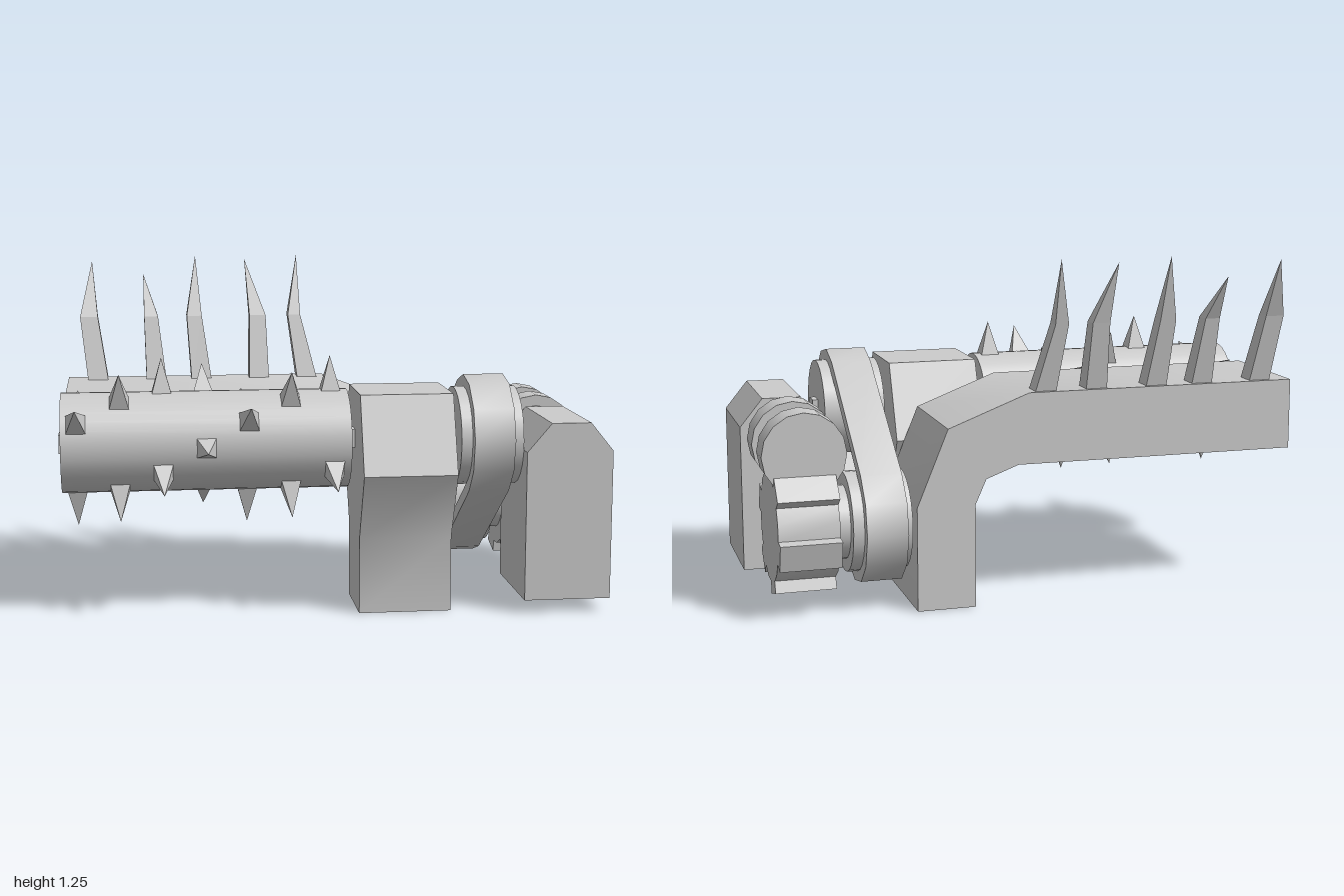
import * as THREE from 'three';
import { toCreasedNormals } from 'three/addons/utils/BufferGeometryUtils.js';

const material = new THREE.MeshStandardMaterial({ color: 0xcccccc });

export function createModel() {
  const model = new THREE.Group();

  const add = (name, geometry, parent = model) => {
    const mesh = new THREE.Mesh(geometry, material);
    mesh.name = name;
    parent.add(mesh);
    return mesh;
  };
  const group = (name) => {
    const g = new THREE.Group();
    g.name = name;
    model.add(g);
    return g;
  };
  const toShape = (points) => new THREE.Shape(points.map(([a, b]) => new THREE.Vector2(a, b)));
  const extrude = (shape, depth) =>
    toCreasedNormals(new THREE.ExtrudeGeometry(shape, { depth, bevelEnabled: false }), 0.65);
  // Extrudes a (-z, y) outline along x
  const extrudeX = (shape, x0, x1) => extrude(shape, x1 - x0).rotateY(Math.PI / 2).translate(x0, 0, 0);
  const cylinderX = (r, x0, x1, y, z, sides = 24) =>
    new THREE.CylinderGeometry(r, r, x1 - x0, sides).rotateZ(Math.PI / 2).translate((x0 + x1) / 2, y, z);
  const cylinderZ = (r, z0, z1, x, y, sides = 16) =>
    new THREE.CylinderGeometry(r, r, z1 - z0, sides).rotateX(Math.PI / 2).translate(x, y, (z0 + z1) / 2);

  const upper = { y: 0.63, z: 0.255 };
  const lower = { y: 0.3, z: -0.255 };

  // Roller on its square shaft
  add('roller', cylinderX(0.182, -0.99, 0.05, upper.y, upper.z, 32));
  add('shaft', new THREE.BoxGeometry(1.7, 0.068, 0.068).translate(-0.15, upper.y, upper.z));

  // Seven rings of three spikes, each ring turned 30 degrees further
  const rollerSpikes = group('rollerSpikes');
  for (let ring = 0; ring < 7; ring++) {
    for (let k = 0; k < 3; k++) {
      const geometry = new THREE.ConeGeometry(0.054, 0.14, 4, 1).toNonIndexed();
      geometry.computeVertexNormals();
      geometry.rotateY(Math.PI / 4).translate(0, 0.236, 0);
      const angle = THREE.MathUtils.degToRad(30 + 30 * ring + 120 * k);
      geometry.rotateX(Math.PI / 2 - angle);
      geometry.translate(-0.935 + ring * 0.154, upper.y, upper.z);
      add('rollerSpike', geometry, rollerSpikes);
    }
  }

  // Bearing stand around the shaft
  add('bearingStand', extrudeX(toShape([
    [-0.41, 0], [-0.13, 0], [-0.13, 0.28], [0, 0.53],
    [-0.12, 0.81], [-0.42, 0.81], [-0.53, 0.53], [-0.41, 0.28],
  ]), 0.08, 0.42));

  // Rear arm: a leg that bends over into a long beam
  add('rearArm', extrude(toShape([
    [0.24, 0], [0.455, 0], [0.455, 0.38], [0.34, 0.66], [0.04, 0.775],
    [-0.98, 0.775], [-0.98, 0.515], [0.08, 0.515], [0.2, 0.47], [0.24, 0.38],
  ]), 0.46).translate(0, 0, -0.46));

  // Bent, tapering tall spikes: base x, middle x, middle width, tip
  const spikeData = [
    [-0.86, -0.895, 0.07, -0.88, 1.235, -0.56],
    [-0.63, -0.648, 0.055, -0.675, 1.18, -0.56],
    [-0.45, -0.475, 0.06, -0.465, 1.255, -0.535],
    [-0.22, -0.22, 0.065, -0.265, 1.24, -0.54],
    [-0.025, -0.072, 0.05, -0.053, 1.255, -0.535],
  ];
  const tallSpikes = group('tallSpikes');
  for (const [bx, mx, mw, tx, ty, tz] of spikeData) {
    const square = (x, w, y, z0, z1) => [
      [x - w / 2, y, z0], [x + w / 2, y, z0], [x + w / 2, y, z1], [x - w / 2, y, z1],
    ];
    const sections = [
      square(bx, 0.08, 0.76, -0.36, -0.44),
      square(mx, mw, 1.02, -0.43, -0.49),
      [0, 1, 2, 3].map(() => [tx, ty, tz]),
    ];
    const positions = [];
    for (let s = 0; s < 2; s++) {
      for (let i = 0; i < 4; i++) {
        const j = (i + 1) % 4;
        const [a, b, c, d] = [sections[s][i], sections[s][j], sections[s + 1][j], sections[s + 1][i]];
        positions.push(...a, ...b, ...c);
        if (s === 0) positions.push(...a, ...c, ...d);
      }
    }
    const geometry = new THREE.BufferGeometry();
    geometry.setAttribute('position', new THREE.Float32BufferAttribute(positions, 3));
    geometry.computeVertexNormals();
    add('tallSpike', geometry, tallSpikes);
  }

  // Pulleys and the belt that joins them
  add('upperPulley', cylinderX(0.183, 0.45, 0.68, upper.y, upper.z));
  add('lowerPulley', cylinderX(0.183, 0.465, 0.68, lower.y, lower.z));
  const slope = Math.atan2(lower.y - upper.y, upper.z - lower.z);
  const loop = (r) => {
    const points = [];
    for (const [end, start] of [[upper, slope + Math.PI / 2], [lower, slope - Math.PI / 2]]) {
      for (let i = 0; i <= 6; i++) {
        const a = start + (i / 6) * Math.PI;
        points.push([-end.z + r * Math.cos(a), end.y + r * Math.sin(a)]);
      }
    }
    return toShape(points);
  };
  const beltShape = loop(0.227);
  beltShape.holes.push(loop(0.182));
  add('belt', extrudeX(beltShape, 0.49, 0.64));

  // Six-toothed gear with its hub
  const gearPoints = [];
  for (let i = 0; i < 6; i++) {
    const mid = 45 + 60 * i;
    for (const [offset, r] of [[-13, 0.2], [-12, 0.245], [12, 0.245], [13, 0.2], [30, 0.203]]) {
      const a = THREE.MathUtils.degToRad(mid + offset);
      gearPoints.push([-lower.z + r * Math.cos(a), lower.y + r * Math.sin(a)]);
    }
  }
  add('gear', extrudeX(toShape(gearPoints), 0.73, 0.95));
  add('gearHub', cylinderX(0.135, 0.66, 0.75, lower.y, lower.z));

  // Motor housing with chamfered top, and its collared shaft
  add('motorHousing', extrude(toShape([
    [0.68, 0.05], [1, 0.05], [1, 0.6], [0.915, 0.705], [0.77, 0.705], [0.68, 0.6],
  ]), 0.41).translate(0, 0, 0.08));
  add('motorShaft', cylinderZ(0.11, -0.38, 0.1, 0.84, 0.58));
  for (const z of [-0.155, -0.385]) add('shaftCollar', cylinderZ(0.152, z, z + 0.115, 0.84, 0.58));

  return model;
}
